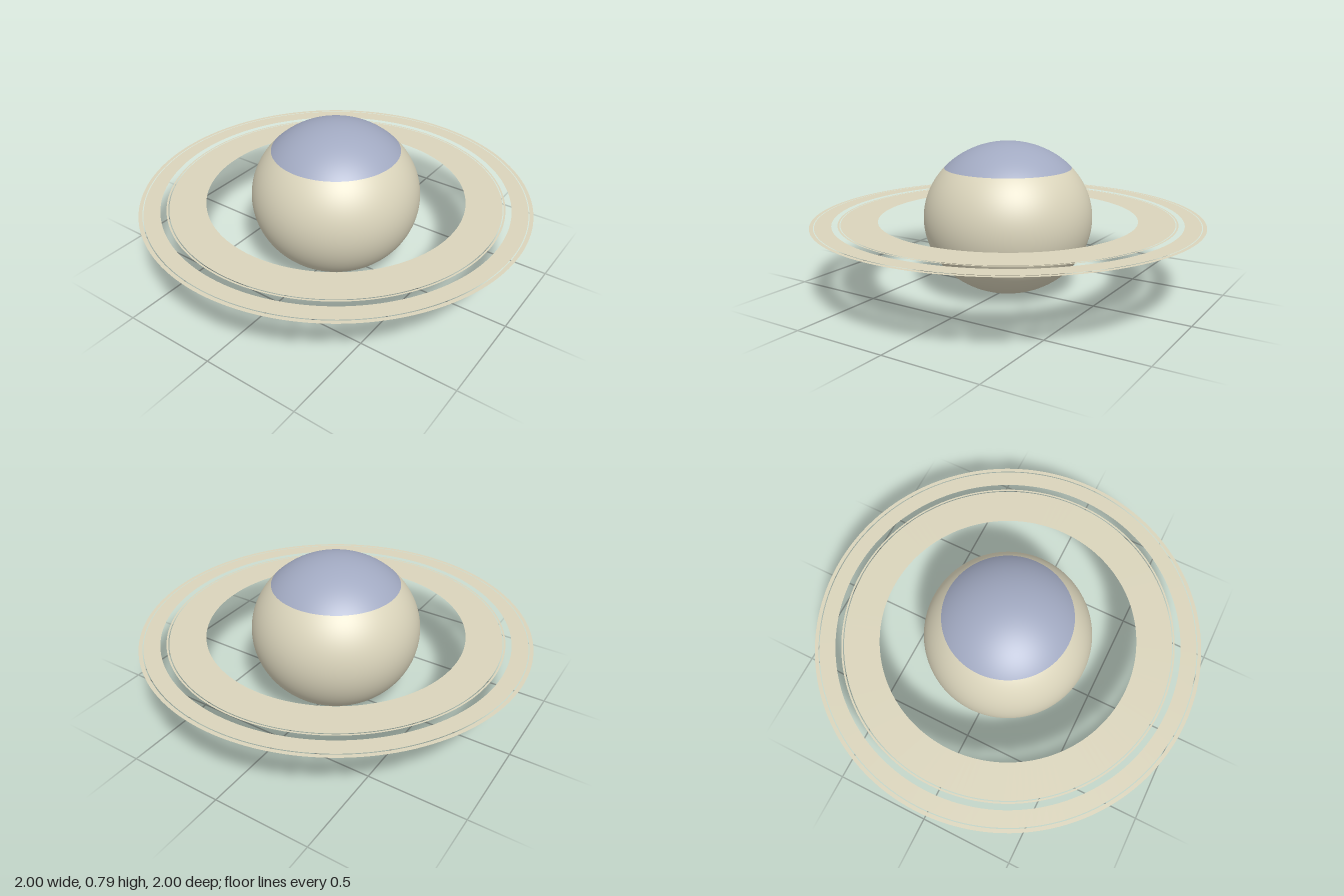
import * as THREE from 'three';

const RADIUS = 0.435, HALF_HEIGHT = 0.393;

export function createModel() {
  const cream = new THREE.MeshStandardMaterial({ color: 0xdad4bb });
  cream.name = 'cream';
  const blue = new THREE.MeshStandardMaterial({ color: 0xa2aac2 });
  blue.name = 'polarBlue';
  const ringCream = new THREE.MeshStandardMaterial({ color: 0xdad4bb, side: THREE.DoubleSide });
  ringCream.name = 'ringCream';

  const model = new THREE.Group();
  model.name = 'ringedPlanet';

  // Flattened globe, split by latitude into polar caps and body
  const globe = new THREE.Group();
  globe.name = 'globe';
  globe.position.y = HALF_HEIGHT;
  globe.scale.set(RADIUS, HALF_HEIGHT, RADIUS);
  const north = 0.845, south = Math.PI - 0.23;
  const bands = [
    ['northCap', 0, north, blue, 20],
    ['body', north, south, cream, 48],
    ['southCap', south, Math.PI, blue, 6],
  ];
  for (const [name, start, end, material, rows] of bands) {
    const geometry = new THREE.SphereGeometry(1, 96, rows, 0, Math.PI * 2, start, end - start);
    const mesh = new THREE.Mesh(geometry, material);
    mesh.name = name;
    globe.add(mesh);
  }
  model.add(globe);

  // Flat rings around the equator, separated by narrow gaps
  const rings = [
    ['innerRing', 0.666, 0.85],
    ['innerRingEdge', 0.855, 0.864],
    ['outerRing', 0.894, 0.976],
    ['outerRingEdge', 0.981, 1],
  ];
  for (const [name, inner, outer] of rings) {
    const geometry = new THREE.RingGeometry(inner, outer, 160, 1).rotateX(-Math.PI / 2);
    const mesh = new THREE.Mesh(geometry, ringCream);
    mesh.name = name;
    mesh.position.y = HALF_HEIGHT;
    model.add(mesh);
  }
  return model;
}
